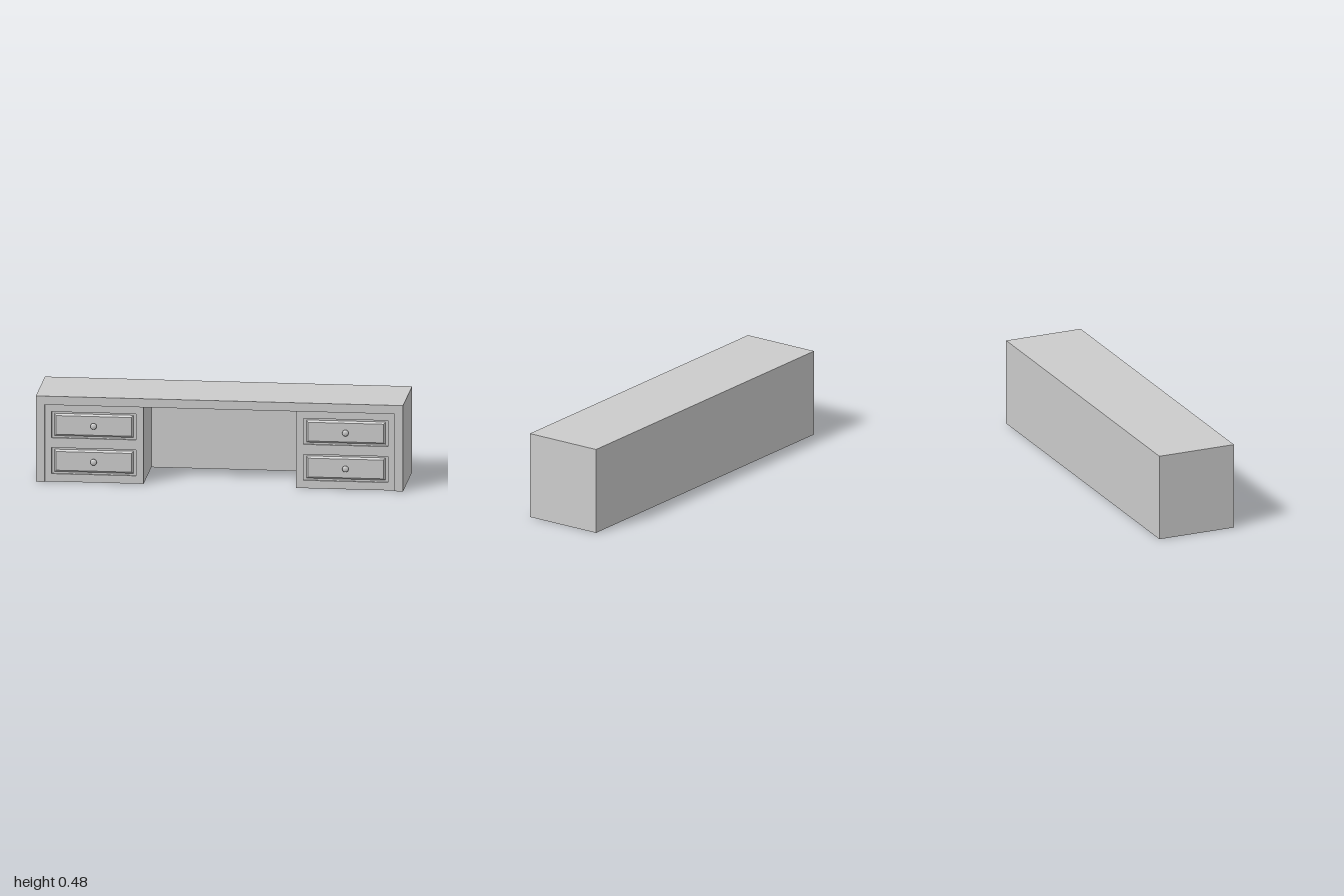
import * as THREE from 'three';

const material = new THREE.MeshStandardMaterial({ color: 0xcccccc });
const thin = new THREE.MeshStandardMaterial({ color: 0xcccccc, side: THREE.DoubleSide });

const H = 0.478, BACK = -0.225, FRONT = 0.218; // carcass height and depth
const WALL = 0.048;                            // carcass board thickness
const FACE = 0.203;                            // pedestal front plane
const INNER = 0.415, OUTER = 1 - WALL;         // pedestal span in x
const MID = 0.686;                             // drawer centre in x
const ROWS = [0.116, 0.316];                   // drawer centres in y

function add(parent, name, geometry, mat = material) {
  const mesh = new THREE.Mesh(geometry, mat);
  mesh.name = name;
  parent.add(mesh);
  return mesh;
}

function polygon(points) {
  return new THREE.Shape(points.map(([x, y]) => new THREE.Vector2(x, y)));
}

// Nested rectangles [halfWidth, halfHeight, z] joined by flat strips, last one capped
function steppedPanel(steps) {
  const rings = steps.map(([w, h, z]) => [[-w, -h, z], [w, -h, z], [w, h, z], [-w, h, z]]);
  const pos = [];
  const quad = (a, b, c, d) => pos.push(...a, ...b, ...c, ...a, ...c, ...d);
  for (let i = 0; i < rings.length - 1; i++) {
    for (let k = 0; k < 4; k++) {
      const n = (k + 1) % 4;
      quad(rings[i][k], rings[i][n], rings[i + 1][n], rings[i + 1][k]);
    }
  }
  quad(...rings[rings.length - 1]);
  const geometry = new THREE.BufferGeometry();
  geometry.setAttribute('position', new THREE.Float32BufferAttribute(pos, 3));
  geometry.computeVertexNormals();
  return geometry;
}

function createPedestal(side) {
  const pedestal = new THREE.Group();
  pedestal.name = side > 0 ? 'leftPedestal' : 'rightPedestal';
  const hw = 0.23, hh = 0.0725;

  // Front frame with two drawer openings
  const x0 = side > 0 ? INNER : -OUTER, x1 = side > 0 ? OUTER : -INNER;
  const top = H - WALL;
  const frame = polygon([[x0, 0], [x1, 0], [x1, top], [x0, top]]);
  const cx = side * MID;
  for (const y of ROWS) {
    frame.holes.push(polygon([[cx - hw, y - hh], [cx - hw, y + hh], [cx + hw, y + hh], [cx + hw, y - hh]]));
  }
  add(pedestal, 'drawerFrame', new THREE.ShapeGeometry(frame), thin).position.z = FACE;

  // Kneehole side panel
  const depth = FACE - BACK - WALL + 0.003;
  const cheek = add(pedestal, 'kneeholeSide', new THREE.PlaneGeometry(depth, top), thin);
  cheek.rotation.y = -side * Math.PI / 2;
  cheek.position.set(side * INNER, top / 2, FACE - depth / 2);

  // Sunken drawer fronts with a raised bevelled field, and round knobs
  const drawerShape = steppedPanel([
    [hw, hh, 0], [hw, hh, -0.01], [0.216, 0.062, -0.01], [0.205, 0.052, 0.002],
  ]);
  const knobProfile = [[0.007, -0.002], [0.007, 0.008], [0.014, 0.009], [0.0175, 0.012],
    [0.0175, 0.016], [0.015, 0.02], [0.009, 0.0225], [0, 0.0235]];
  const knobShape = new THREE.LatheGeometry(knobProfile.map(([r, h]) => new THREE.Vector2(r, h)), 24);
  knobShape.rotateX(Math.PI / 2);
  for (const y of ROWS) {
    const drawer = new THREE.Group();
    drawer.name = 'drawer';
    drawer.position.set(cx, y, FACE);
    add(drawer, 'drawerFront', drawerShape, thin);
    add(drawer, 'knob', knobShape, thin);
    pedestal.add(drawer);
  }
  return pedestal;
}

export function createModel() {
  const desk = new THREE.Group();
  desk.name = 'desk';

  // Top and two end boards as one arch
  const t = H - WALL;
  const arch = polygon([[-1, 0], [-OUTER, 0], [-OUTER, t], [OUTER, t], [OUTER, 0], [1, 0], [1, H], [-1, H]]);
  const shell = new THREE.ExtrudeGeometry(arch, { depth: FRONT - BACK, bevelEnabled: false });
  add(desk, 'topAndEnds', shell).position.z = BACK;

  // Back board between the ends
  const back = add(desk, 'backBoard', new THREE.BoxGeometry(2 * OUTER, t, WALL - 0.003));
  back.position.set(0, t / 2, BACK + (WALL - 0.003) / 2);

  for (const side of [-1, 1]) desk.add(createPedestal(side));
  return desk;
}
